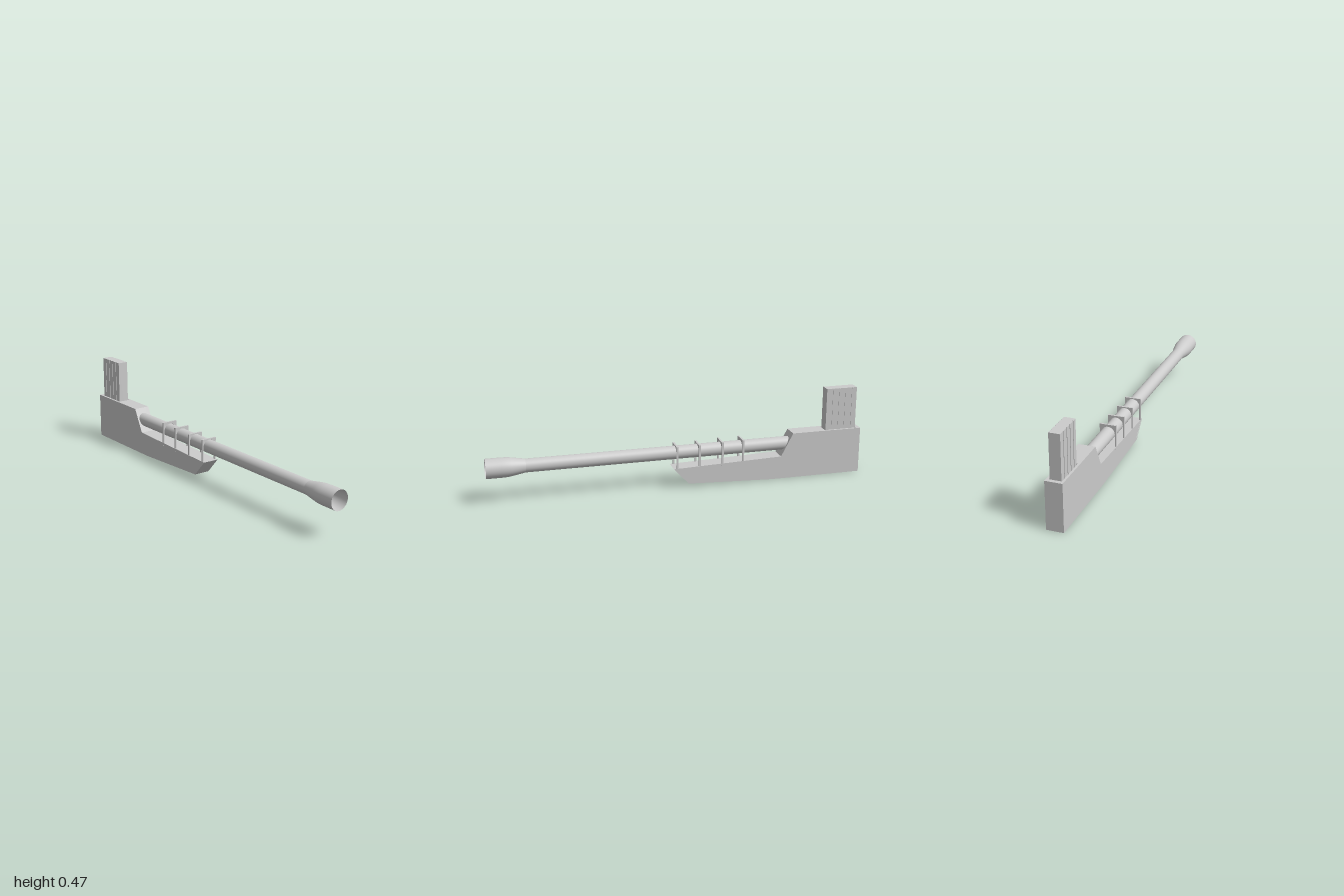
import * as THREE from 'three';

const material = new THREE.MeshStandardMaterial({ color: 0xcccccc });
const doubleSided = new THREE.MeshStandardMaterial({ color: 0xcccccc, side: THREE.DoubleSide });

const toShape = (pts) => new THREE.Shape(pts.map(([a, b]) => new THREE.Vector2(a, b)));

// Extrudes a side outline drawn in (z, y) between two x positions
function sideSlab(shape, x0, x1) {
  const geo = new THREE.ExtrudeGeometry(shape, { depth: x1 - x0, bevelEnabled: false });
  return geo.rotateY(-Math.PI / 2).translate(x1, 0, 0);
}

export function createModel() {
  const model = new THREE.Group();
  const add = (name, geo, mat = material) => {
    const mesh = new THREE.Mesh(geo, mat);
    mesh.name = name;
    model.add(mesh);
    return mesh;
  };

  // Body: solid core in front of the magazine well, side walls and back wall
  const nose = [[0.04, 0.107], [-0.04, 0.02], [-0.5, 0]];
  const upper = [[-0.615, 0.247], [-0.55, 0.124]];
  const outline = [...nose, [-1, 0], [-1, 0.247], ...upper];
  add('bodyCore', sideSlab(toShape([...nose, [-0.8, 0], [-0.8, 0.247], ...upper]), -0.032, 0.032));
  add('bodyBackWall', new THREE.BoxGeometry(0.064, 0.247, 0.02).translate(0, 0.1235, -0.99));

  // Outer skins leave a shallow recessed panel on each side
  const skin = toShape(outline);
  skin.holes.push(toShape([[0.018, 0.098], [-0.042, 0.031], [-0.5, 0.013], [-0.975, 0.013], [-0.975, 0.112], [-0.55, 0.112]]));
  for (const [side, s] of [['left', 1], ['right', -1]]) {
    const span = (a, b) => (s > 0 ? [a, b] : [-b, -a]);
    add(side + 'BodyWall', sideSlab(toShape(outline), ...span(0.032, 0.0395)));
    add(side + 'BodySkin', sideSlab(skin, ...span(0.0395, 0.0435)));
  }

  // Magazine: block with vertical grooves down both sides
  const right = [[-0.028, 0.805]];
  for (const z of [0.83, 0.865, 0.9, 0.938]) {
    right.push([-0.028, z], [-0.0255, z], [-0.0255, z + 0.01], [-0.028, z + 0.01]);
  }
  right.push([-0.028, 0.975]);
  const left = right.map(([x, z]) => [-x, z]).reverse();
  const magazine = new THREE.ExtrudeGeometry(toShape([...right, ...left]), { depth: 0.427, bevelEnabled: false });
  add('magazine', magazine.rotateX(-Math.PI / 2).translate(0, 0.045, 0));

  // Barrel with flared muzzle, lathed along z
  const axisY = 0.185;
  const lathe = (pts) => new THREE.LatheGeometry(pts.map(([r, z]) => new THREE.Vector2(r, z)), 40)
    .rotateX(Math.PI / 2).translate(0, axisY, 0);
  add('barrel', lathe([[0.035, -0.61], [0.035, 0.8]]), doubleSided);
  add('muzzleFlare', lathe([[0.035, 0.8], [0.038, 0.816], [0.047, 0.868], [0.05, 0.89], [0.051, 0.92], [0.051, 1]]), doubleSided);
  const bowl = [];
  for (let i = 0; i <= 10; i++) {
    const a = (i / 10) * Math.PI / 2;
    bowl.push([0.0505 * Math.sin(a), 1 - 0.15 * Math.cos(a)]);
  }
  add('muzzleBore', lathe(bowl), doubleSided);

  // Barrel brackets: thin arches standing on the body
  [[0.02, 0.226], [-0.1, 0.226], [-0.225, 0.23], [-0.338, 0.232]].forEach(([z, top], i) => {
    const arch = new THREE.Shape();
    arch.moveTo(-0.043, 0.1);
    arch.lineTo(-0.036, 0.1);
    arch.lineTo(-0.036, axisY);
    arch.absarc(0, axisY, 0.036, Math.PI, 0, true);
    arch.lineTo(0.036, 0.1);
    arch.lineTo(0.043, 0.1);
    arch.lineTo(0.043, top);
    arch.lineTo(-0.043, top);
    const geo = new THREE.ExtrudeGeometry(arch, { depth: 0.01, bevelEnabled: false, curveSegments: 16 });
    add('barrelBracket' + (i + 1), geo.translate(0, 0, z - 0.005));
  });

  return model;
}
